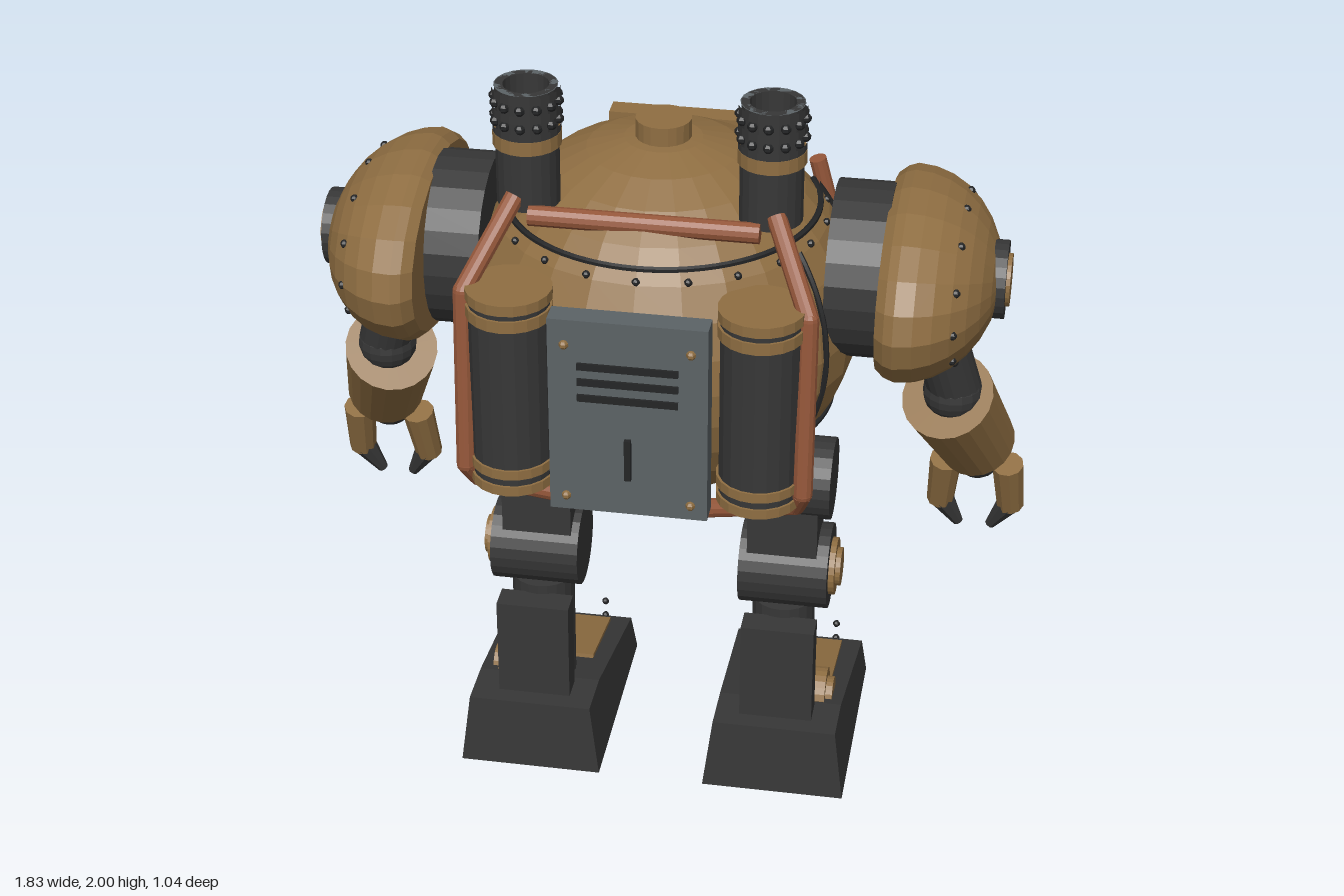
import * as THREE from 'three';

const mat = (name, color) => {
  const m = new THREE.MeshStandardMaterial({ color, flatShading: true });
  m.name = name;
  return m;
};
const V = (x, y, z) => new THREE.Vector3(x, y, z);

export function createModel() {
  const brass = mat('brass', 0x8f6e42);
  const dark = mat('dark iron', 0x373737);
  const black = mat('black rivet', 0x242526);
  const copper = mat('copper', 0x95573a);
  const steel = mat('steel', 0x5c6366);
  const glass = mat('teal glass', 0x234a50);

  const root = new THREE.Group();
  root.name = 'robot';

  const add = (parent, name, geo, m, x = 0, y = 0, z = 0) => {
    const mesh = new THREE.Mesh(geo, m);
    mesh.name = name;
    mesh.position.set(x, y, z);
    parent.add(mesh);
    return mesh;
  };
  const box = (p, name, m, w, h, d, x, y, z) => add(p, name, new THREE.BoxGeometry(w, h, d), m, x, y, z);
  const ball = (p, name, m, r, x, y, z) => add(p, name, new THREE.SphereGeometry(r, 16, 12), m, x, y, z);
  const stud = (p, m, x, y, z, r = 0.01) => add(p, 'rivet', new THREE.SphereGeometry(r, 6, 5), m, x, y, z);
  // cylinder between two points, r1 at a and r2 at b
  const rod = (p, name, m, a, b, r1, r2 = r1, sides = 20) => {
    const d = b.clone().sub(a);
    const mesh = add(p, name, new THREE.CylinderGeometry(r2, r1, d.length(), sides), m);
    mesh.position.copy(a).addScaledVector(d, 0.5);
    mesh.quaternion.setFromUnitVectors(V(0, 1, 0), d.normalize());
    return mesh;
  };
  // straight pipe runs with ball joints
  const pipe = (p, name, pts, r) => pts.forEach((q, i) => {
    if (i) rod(p, name, copper, pts[i - 1], q, r, r, 12);
    if (i && i < pts.length - 1) add(p, name + 'Joint', new THREE.SphereGeometry(r, 12, 8), copper, q.x, q.y, q.z);
  });

  // Body
  const C = V(0, 1.333, 0), R = V(0.49, 0.466, 0.475);
  const body = add(root, 'body', new THREE.SphereGeometry(1, 24, 16), brass, C.x, C.y, C.z);
  body.scale.copy(R);
  const onBody = (deg, y) => {
    const a = THREE.MathUtils.degToRad(deg), k = Math.sqrt(1 - ((y - C.y) / R.y) ** 2);
    return V(R.x * k * Math.cos(a), y, R.z * k * Math.sin(a));
  };
  const seam = (f) => {
    const pts = [];
    for (let i = 0; i <= 24; i++) pts.push(f(i / 24));
    add(root, 'seam', new THREE.TubeGeometry(new THREE.CatmullRomCurve3(pts), 48, 0.008, 6), black);
  };
  seam(t => onBody(-25 + 230 * t, 1.625));
  for (const base of [0, 180]) {
    seam(t => onBody(base - 52 + 104 * t, 1.1));
    for (const off of [-28, 28]) seam(t => onBody(base + off, 1.1 + 0.5 * t));
  }
  for (let i = 0; i < 13; i++) {
    const p = onBody(-15 + 17.5 * i, 1.6);
    stud(root, black, p.x, p.y, p.z);
  }
  rod(root, 'topCap', brass, V(0, 1.76, 0), V(0, 1.84, 0), 0.068);

  // Visor on the face and round port below it
  box(root, 'visorFrame', brass, 0.44, 0.24, 0.06, 0, 1.5, -0.485);
  box(root, 'visorGlass', glass, 0.34, 0.16, 0.012, 0, 1.5, -0.52);
  rod(root, 'portRing', brass, V(0, 1, -0.34), V(0, 1, -0.42), 0.125, 0.125, 24);
  rod(root, 'portCover', brass, V(0, 1, -0.41), V(0, 1, -0.45), 0.08, 0.08, 24);

  // Service hatch at the rear
  box(root, 'hatch', steel, 0.38, 0.52, 0.06, 0, 1.29, 0.475);
  for (const y of [1.43, 1.388, 1.345]) box(root, 'hatchSlot', black, 0.24, 0.018, 0.008, 0, y, 0.507);
  box(root, 'hatchHandle', black, 0.016, 0.11, 0.014, 0, 1.185, 0.51);
  for (const x of [-0.15, 0.15]) for (const y of [1.07, 1.485]) stud(root, brass, x, y, 0.507, 0.012);

  // Cross pipe between the chimneys
  rod(root, 'crossPipe', copper, V(-0.275, 1.695, 0.28), V(0.275, 1.695, 0.28), 0.025, 0.025, 12);

  // Pauldron profile, revolved and stretched
  const dome = [new THREE.Vector2(0, -0.2), new THREE.Vector2(0.9, -0.2), new THREE.Vector2(0.97, -0.1)];
  for (let i = 0; i <= 8; i++) {
    const a = i * Math.PI / 16;
    dome.push(new THREE.Vector2(i === 8 ? 0 : Math.cos(a), Math.sin(a)));
  }

  // Foot side profile (z, y)
  const footShape = new THREE.Shape([[0.215, 0], [0.205, 0.2], [0.07, 0.197], [-0.35, 0.107], [-0.37, 0]]
    .map(([z, y]) => new THREE.Vector2(-z, y)));

  for (const s of [1, -1]) {
    const side = new THREE.Group();
    side.name = s > 0 ? 'leftSide' : 'rightSide';
    root.add(side);
    const P = (x, y, z) => V(s * x, y, z);
    // disc along x
    const hub = (name, m, x0, x1, y, z, r) => rod(side, name, m, P(x0, y, z), P(x1, y, z), r, r, 24);
    const up = (name, m, x, z, y0, y1, r) => rod(side, name, m, P(x, y0, z), P(x, y1, z), r, r, 20);

    // Chimney
    up('chimney', dark, 0.29, 0.205, 1.7, 1.86, 0.076);
    up('chimneyBand', brass, 0.29, 0.205, 1.85, 1.885, 0.082);
    const wall = [[0.055, 0], [0.074, 0], [0.074, 0.12], [0.055, 0.12], [0.055, 0]].map(a => new THREE.Vector2(...a));
    add(side, 'chimneyMouth', new THREE.LatheGeometry(wall, 20), dark, s * 0.29, 1.88, 0.205);
    const lip = add(side, 'chimneyLip', new THREE.RingGeometry(0.055, 0.076, 20), steel, s * 0.29, 2, 0.205);
    lip.rotation.x = -Math.PI / 2;
    for (const y of [1.893, 1.94, 1.987]) up('chimneyRing', dark, 0.29, 0.205, y - 0.01, y + 0.01, 0.08)
      .geometry = new THREE.CylinderGeometry(0.081, 0.081, 0.02, 20, 1, true);
    for (const y of [1.917, 1.964]) for (let i = 0; i < 12; i++) {
      const a = i * Math.PI / 6;
      stud(side, black, s * 0.29 + 0.077 * Math.cos(a), y, 0.205 + 0.077 * Math.sin(a), 0.013);
    }

    // Rear tank
    up('tank', dark, 0.3, 0.405, 1.055, 1.56, 0.098);
    for (const [a, b] of [[1.545, 1.572], [1.5, 1.53], [1.095, 1.12], [1.05, 1.075]])
      up('tankBand', brass, 0.3, 0.405, a, b, 0.104);

    // Copper pipework
    pipe(side, 'rearPipe', [P(0.31, 1.735, 0.265), P(0.41, 1.55, 0.41), P(0.41, 1.09, 0.44), P(0.39, 1.03, 0.4), P(0.16, 0.945, 0.32)], 0.024);
    const fp = [P(0.34, 1.61, -0.3), P(0.41, 1.33, -0.32), P(0.41, 1.17, -0.34), P(0.26, 1.12, -0.4), P(0.25, 0.97, -0.37)];
    pipe(side, 'facePipe', fp, 0.022);
    for (const p of fp.slice(1, 4)) rod(side, 'pipeCollar', brass, p.clone().add(V(0, 0.012, 0)), p.clone().add(V(0, 0.045, 0)), 0.031, 0.031, 12);

    // Shoulder
    hub('shoulderJoint', dark, 0.42, 0.56, 1.473, 0, 0.216);
    const geo = new THREE.LatheGeometry(dome, 20);
    geo.rotateZ(-Math.PI / 2);
    if (s < 0) geo.rotateY(Math.PI);
    const pad = add(side, 'pauldron', geo, brass, s * 0.6, 1.473, 0);
    pad.scale.set(0.23, 0.23, 0.372);
    for (let i = 0; i < 12; i++) {
      const a = i * Math.PI / 6;
      stud(side, black, s * 0.735, 1.473 + 0.182 * Math.cos(a), 0.295 * Math.sin(a), 0.011);
    }
    hub('shoulderHubRing', dark, 0.78, 0.842, 1.473, 0, 0.096);
    hub('shoulderHub', brass, 0.8, 0.852, 1.473, 0, 0.065);

    // Arm and claw
    rod(side, 'upperArm', dark, P(0.67, 1.36, 0.01), P(0.73, 1.13, -0.04), 0.068);
    ball(side, 'elbow', dark, 0.075, s * 0.725, 1.125, -0.04);
    rod(side, 'forearm', brass, P(0.713, 1.115, -0.03), P(0.785, 0.88, -0.21), 0.118, 0.1);
    ball(side, 'wrist', dark, 0.065, s * 0.787, 0.815, -0.25);
    for (const f of [-1, 1]) {
      const x = 0.787;
      rod(side, 'finger', brass, P(x + f * 0.08, 0.8, -0.235), P(x + f * 0.092, 0.645, -0.285), 0.042, 0.036, 10);
      rod(side, 'fingerTip', dark, P(x + f * 0.09, 0.655, -0.28), P(x + f * 0.042, 0.57, -0.295), 0.034, 0.014, 8);
    }

    // Leg
    hub('hip', dark, 0.2, 0.44, 0.858, 0, 0.106);
    box(side, 'thigh', dark, 0.18, 0.27, 0.145, s * 0.32, 0.73, 0.012);
    box(side, 'thighPlate', brass, 0.13, 0.17, 0.04, s * 0.32, 0.72, -0.08);
    hub('knee', dark, 0.21, 0.44, 0.59, 0, 0.112);
    hub('kneeDisc', brass, 0.43, 0.455, 0.59, 0, 0.075);
    hub('kneeBolt', brass, 0.44, 0.468, 0.59, 0, 0.05);
    ball(side, 'kneecap', brass, 1, s * 0.32, 0.588, -0.085).scale.set(0.09, 0.105, 0.077);
    up('shin', dark, 0.32, 0.012, 0.15, 0.5, 0.082);
    box(side, 'calfPlate', dark, 0.19, 0.32, 0.07, s * 0.322, 0.315, 0.12);
    box(side, 'shinStrip', copper, 0.045, 0.34, 0.02, s * 0.32, 0.33, -0.067);
    hub('ankleDisc', brass, 0.4, 0.44, 0.18, 0, 0.068);
    hub('ankleBolt', brass, 0.42, 0.458, 0.18, 0, 0.045);

    // Foot, narrowing toward the top
    const foot = new THREE.ExtrudeGeometry(footShape, { depth: 2, bevelEnabled: false });
    foot.translate(0, 0, -1);
    foot.rotateY(Math.PI / 2);
    const pos = foot.attributes.position;
    for (let i = 0; i < pos.count; i++) pos.setX(i, pos.getX(i) * (0.186 - 0.125 * pos.getY(i)));
    foot.computeVertexNormals();
    add(side, 'foot', foot, dark, s * 0.325, 0, 0);
    const toe = box(side, 'toePlate', brass, 0.24, 0.012, 0.26, s * 0.325, 0.146, -0.19);
    toe.rotation.x = -0.211;
    for (const dx of [-0.1, 0.1]) for (const y of [0.155, 0.108]) stud(side, black, s * 0.325 + dx, y, -0.352);
  }
  return root;
}
